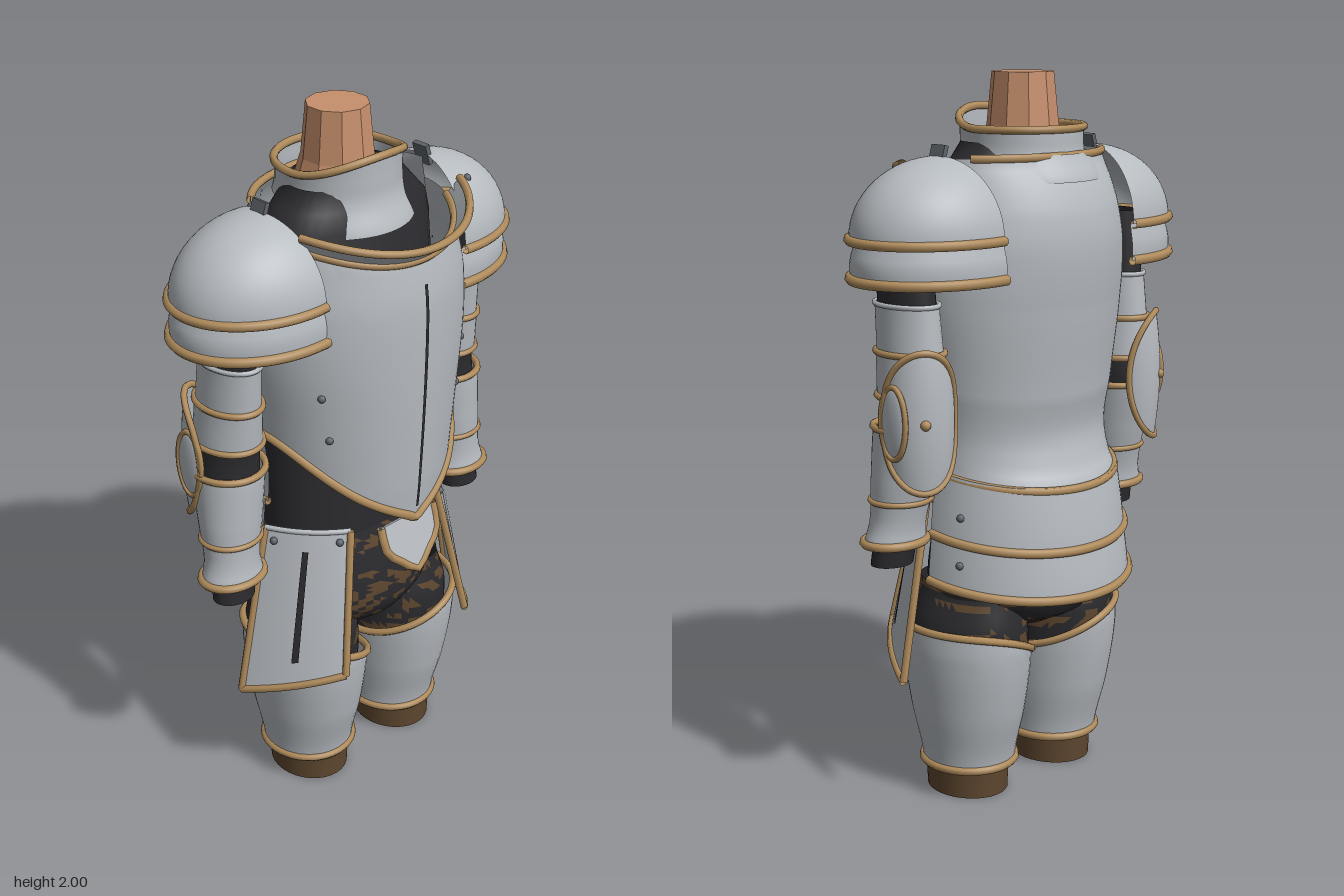
import * as THREE from 'three';
import { ParametricGeometry } from 'three/addons/geometries/ParametricGeometry.js';

const PI = Math.PI, { sin, cos, abs } = Math;
const V = (x, y, z) => new THREE.Vector3(x, y, z);
const mat = (name, color, o = {}) => {
  const m = new THREE.MeshStandardMaterial({ color, side: THREE.DoubleSide, ...o });
  m.name = name;
  return m;
};

export function createModel() {
  const steel = mat('steel', 0xb6bbc0), gold = mat('brass trim', 0xb08c5c), black = mat('black mail', 0x2b2a2e),
    brown = mat('brown leather', 0x5e472f), skin = mat('skin', 0xc68f6c, { flatShading: true }), dark = mat('dark steel', 0x5f646b);
  const model = new THREE.Group();
  model.name = 'suitOfArmour';
  let target = model; // group receiving new parts

  const add = (name, geo, m) => {
    const mesh = new THREE.Mesh(geo, m);
    mesh.name = name;
    target.add(mesh);
    return mesh;
  };
  const patch = (name, fn, m, nu = 32, nv = 12) =>
    add(name, new ParametricGeometry((u, v, t) => t.copy(fn(u, v)), nu, nv), m);
  const trim = (name, fn, r = 0.012, closed = false, n = 32, m = gold) => {
    const pts = Array.from({ length: closed ? n : n + 1 }, (_, i) => fn(i / n));
    return add(name, new THREE.TubeGeometry(new THREE.CatmullRomCurve3(pts, closed), n * 2, r, 7, closed), m);
  };
  const rivet = (p, m = dark, r = 0.011) => add('rivet', new THREE.SphereGeometry(r, 10, 8), m).position.copy(p);

  // Smooth elliptical surface from rows [y, rx, rz]; angle 0 faces front, PI/2 faces +x
  const surface = (rows, cx = 0, cz = 0, off = 0) => {
    const at = (c, y) => (typeof c === 'function' ? c(y) : c);
    return (a, y) => {
      let i = 0;
      while (i < rows.length - 2 && y > rows[i + 1][0]) i++;
      const t = THREE.MathUtils.clamp((y - rows[i][0]) / (rows[i + 1][0] - rows[i][0]), 0, 1);
      const [rx, rz] = [1, 2].map(k => {
        const p = j => rows[Math.min(Math.max(j, 0), rows.length - 1)][k];
        const m0 = (p(i + 1) - p(i - 1)) / 2, m1 = (p(i + 2) - p(i)) / 2, d = p(i + 1) - p(i);
        return p(i) + m0 * t + (3 * d - 2 * m0 - m1) * t * t + (m0 + m1 - 2 * d) * t * t * t + off;
      });
      return V(at(cx, y) + rx * sin(a), y, at(cz, y) + rz * cos(a));
    };
  };
  const ev = (e, a) => (typeof e === 'function' ? e(a) : e);
  const plate = (name, S, a0, a1, lo, hi, m = steel, nu = 32, nv = 12) => patch(name, (u, v) => {
    const a = a0 + (a1 - a0) * u;
    return S(a, ev(lo, a) + (ev(hi, a) - ev(lo, a)) * v);
  }, m, nu, nv);
  const edge = (name, S, a0, a1, y, r) => trim(name, t => {
    const a = a0 + (a1 - a0) * t;
    return S(a, ev(y, a));
  }, r, abs(a1 - a0 - 2 * PI) < 1e-6);
  const ring = (name, S, y, r) => edge(name, S, 0, 2 * PI, y, r);

  // Neck
  const neck = [[0.135, 1.74], [0.098, 1.86], [0.084, 2], [0, 2]].map(p => new THREE.Vector2(...p));
  add('neck', new THREE.LatheGeometry(neck, 10), skin).position.z = -0.033;

  // Mail undershirt
  const shirt = surface([[0.82, 0.27, 0.18], [1.1, 0.27, 0.18], [1.4, 0.28, 0.2], [1.6, 0.27, 0.18], [1.72, 0.265, 0.15], [1.82, 0.17, 0.125]], 0, -0.01);
  plate('undershirt', shirt, 0, 2 * PI, 0.82, 1.82, black, 40, 20);
  const base = add('neckOpening', new THREE.CircleGeometry(0.165, 32), black);
  base.rotation.x = -PI / 2;
  base.position.set(0, 1.78, -0.03);

  // Collar with front and back lappets
  const collar = surface([[1.7, 0.2, 0.2], [1.78, 0.172, 0.17], [1.84, 0.168, 0.165], [1.92, 0.176, 0.165]], 0, -0.03);
  const collarTop = a => 1.855 + (cos(a) > 0 ? 0.048 * cos(a) ** 2 : 0);
  plate('collar', collar, 0, 2 * PI, 1.77, collarTop, steel, 48);
  ring('collarTrim', collar, collarTop, 0.011);
  plate('collarFrontLappet', collar, -0.75, 0.75, 1.705, 1.79);
  plate('collarBackLappet', surface([[1.72, 0.21, 0.215], [1.8, 0.19, 0.175]], 0, -0.03), PI - 0.6, PI + 0.6, 1.72, 1.79);

  // Breastplate with pointed hem, centre ridge and flared neck flange
  const frontRows = [[0.87, 0.27, 0.272], [1, 0.288, 0.282], [1.2, 0.31, 0.292], [1.4, 0.332, 0.298], [1.55, 0.326, 0.296], [1.67, 0.3, 0.277], [1.75, 0.285, 0.25]];
  const breast = surface(frontRows);
  const hem = a => { const s = abs(sin(a)); return 0.892 + 0.27 * (0.6 * s + 0.4 * s ** 4); };
  const neckline = a => 1.665 + 0.06 * sin(a) ** 2;
  plate('breastplate', breast, -PI / 2, PI / 2, hem, neckline, steel, 48, 24);
  edge('breastplateHemTrim', breast, -PI / 2, PI / 2, hem, 0.013);
  plate('breastplateRidge', surface(frontRows, 0, 0, 0.004), -0.016, 0.016, 0.93, 1.6, black, 2, 20);
  const flange = (a, v) => breast(a, neckline(a)).lerp(V(0.312 * sin(a), neckline(a) + 0.048, 0.326 * cos(a)), v);
  patch('neckFlange', (u, v) => flange(-1.15 + 2.3 * u, v), steel, 32, 3);
  for (const v of [0, 1]) trim('neckFlangeTrim', t => flange(-1.15 + 2.3 * t, v), 0.011);
  for (const s of [-1, 1]) for (const [a, y] of [[0.92, 1.32], [0.88, 1.19]]) rivet(breast(s * a, y));

  // Backplate and hip lames
  const back = surface([[0.9, 0.3, 0.272], [0.96, 0.292, 0.238], [1.04, 0.29, 0.218], [1.15, 0.305, 0.235], [1.4, 0.33, 0.262], [1.55, 0.326, 0.274], [1.65, 0.308, 0.262], [1.72, 0.292, 0.234], [1.785, 0.28, 0.195]]);
  const tilt = y => a => y + 0.045 * (1 + cos(a));
  plate('backplate', back, PI / 2, 1.5 * PI, tilt(0.9), 1.785, steel, 40, 28);
  edge('backplateHemTrim', back, PI / 2, 1.5 * PI, tilt(0.9), 0.012);
  edge('backNeckTrim', back, PI - 1.1, PI + 1.1, 1.785, 0.011);
  for (const [lo, hi, rx0, rz0, rx1, rz1] of [[0.735, 0.91, 0.325, 0.3, 0.3, 0.264], [0.605, 0.75, 0.335, 0.318, 0.315, 0.286]]) {
    const S = surface([[lo, rx0, rz0], [hi + 0.1, rx1, rz1]]);
    plate('hipLame', S, PI / 2, 1.5 * PI, tilt(lo), tilt(hi));
    edge('hipLameTrim', S, PI / 2, 1.5 * PI, tilt(lo), 0.013);
    for (const a of [1.9, 2 * PI - 1.9]) rivet(S(a, lo + 0.1));
  }

  // Mottled shorts: triangles are sorted into black and brown groups
  const mottle = mesh => {
    const g = mesh.geometry, p = g.attributes.position, bins = [[], []];
    for (let i = 0; i < g.index.count; i += 3) {
      const t = [0, 1, 2].map(k => g.index.getX(i + k));
      const mean = f => t.reduce((sum, k) => sum + p[f](k), 0) / 3;
      const x = mean('getX'), y = mean('getY'), z = mean('getZ');
      bins[sin(x * 34 + 3 * sin(y * 37)) * cos(y * 48 + z * 12 + 2 * sin(x * 29)) > 0.3 ? 1 : 0].push(...t);
    }
    g.setIndex([...bins[0], ...bins[1]]);
    g.addGroup(0, bins[0].length, 0);
    g.addGroup(bins[0].length, bins[1].length, 1);
    mesh.material = [black, brown];
  };
  const hips = surface([[0.48, 0.11, 0.1], [0.52, 0.2, 0.18], [0.59, 0.285, 0.215], [0.72, 0.28, 0.21], [0.9, 0.26, 0.18]], 0, -0.02);
  mottle(plate('shorts', hips, 0, 2 * PI, 0.48, 0.9, black, 72, 30));

  // Pointed front tab
  const tab = target = new THREE.Group();
  tab.name = 'frontTab';
  tab.position.set(0, 0.88, 0.235);
  tab.rotation.x = -0.3;
  model.add(tab);
  const tabPts = [[-0.1, 0], [-0.095, -0.075], [-0.045, -0.125], [0, -0.16], [0.045, -0.125], [0.095, -0.075], [0.1, 0]];
  add('frontTabPlate', new THREE.ExtrudeGeometry(new THREE.Shape(tabPts.map(p => new THREE.Vector2(...p))), { depth: 0.01, bevelEnabled: false }), steel);
  trim('frontTabTrim', t => V(...tabPts[Math.round(t * 6)], 0.005), 0.012, false, 6);

  // Everything paired is built on the left, then mirrored
  const side = new THREE.Group();
  side.name = 'leftSide';
  target = side;

  // Leg: lining, thigh plate, boot top
  const legX = y => 0.168 + 0.022 * y;
  mottle(plate('thighLining', surface([[0.36, 0.145, 0.175], [0.5, 0.145, 0.18], [0.62, 0.1, 0.16]], legX, 0), 0, 2 * PI, 0.36, 0.62, black, 48, 14));
  const thigh = surface([[0.09, 0.128, 0.132], [0.25, 0.15, 0.172], [0.42, 0.165, 0.197], [0.52, 0.16, 0.195]], legX, 0.012);
  const thighTop = a => 0.44 + 0.06 * sin(a) + 0.03 * cos(a) ** 2;
  plate('thighPlate', thigh, 0, 2 * PI, 0.09, thighTop, steel, 40, 16);
  ring('thighTopTrim', thigh, thighTop, 0.011);
  ring('thighHemTrim', thigh, 0.09, 0.012);
  plate('bootTop', surface([[0, 0.106, 0.122], [0.12, 0.112, 0.126]], 0.172, 0.017), 0, 2 * PI, 0, 0.12, brown, 32, 2);

  // Hanging thigh guard
  const [oT, iT, oB, iB] = [V(0.32, 0.88, 0.015), V(0.165, 0.88, 0.19), V(0.42, 0.375, 0.01), V(0.24, 0.46, 0.25)];
  const guard = (u, v, off = 0) => {
    const b = 0.018 * 4 * u * (1 - u) + off;
    return oT.clone().lerp(iT, u).lerp(oB.clone().lerp(iB, u), v).add(V(b * 0.7, 0, b * 0.7));
  };
  patch('thighGuard', (u, v) => guard(u, v), steel, 12, 8);
  trim('thighGuardSideTrim', t => guard(0, t), 0.011, false, 8);
  trim('thighGuardInnerTrim', t => guard(1, t), 0.011, false, 8);
  trim('thighGuardHemTrim', t => guard(t, 1), 0.011, false, 8);
  trim('thighGuardTopEdge', t => guard(t, 0), 0.008, false, 8, steel);
  patch('thighGuardSlot', (u, v) => guard(0.46 + 0.07 * u, 0.12 + 0.72 * v, 0.005), black, 2, 4);
  for (const u of [0.12, 0.88]) rivet(guard(u, 0.07, 0.002));

  // Arm: sleeve, upper lames, forearm
  const armX = y => 0.406 + 0.09 * Math.max(0, 1.15 - y);
  const armZ = y => (y < 1.15 ? -0.03 + 0.12 * (1.15 - y) : -0.03 + 0.08 * (y - 1.15));
  const arm = rows => surface(rows, armX, armZ);
  const sleeve = arm([[0.72, 0.062, 0.05], [0.8, 0.066, 0.055], [1.1, 0.082, 0.09], [1.4, 0.062, 0.092], [1.6, 0.06, 0.09]]);
  plate('sleeve', sleeve, 0, 2 * PI, 0.72, 1.6, black, 28, 16);
  const cuff = add('sleeveEnd', new THREE.CircleGeometry(1, 24), black);
  cuff.scale.set(0.062, 0.05, 1);
  cuff.rotation.x = PI / 2;
  cuff.position.set(armX(0.72), 0.72, armZ(0.72));
  const upper = arm([[1.28, 0.074, 0.102], [1.42, 0.068, 0.1]]);
  plate('upperArmPlate', upper, 0, 2 * PI, 1.28, 1.42);
  trim('upperArmEdge', t => upper(2 * PI * t, 1.42), 0.007, true, 32, steel);
  const lame = arm([[1.17, 0.086, 0.104], [1.3, 0.076, 0.104]]);
  plate('elbowLame', lame, 0, 2 * PI, 1.17, 1.3);
  for (const y of [1.18, 1.295]) ring('elbowLameTrim', lame, y, 0.009);
  const fore = arm([[0.78, 0.092, 0.073], [0.84, 0.08, 0.07], [0.95, 0.09, 0.084], [1.1, 0.098, 0.102]]);
  plate('forearmPlate', fore, 0, 2 * PI, 0.78, 1.1);
  for (const [y, r] of [[0.785, 0.012], [0.9, 0.008], [1.1, 0.01]]) ring('forearmTrim', fore, y, r);

  // Elbow guard with side wing
  const elbow = (r, f) => {
    const a = 2.6 + 1.15 * r * cos(f), b = 0.014 * (1 - r * r);
    return V(0.406 + (0.102 + b) * sin(a), 1.125 + 0.185 * r * sin(f), -0.035 + (0.108 + b) * cos(a));
  };
  patch('elbowGuard', (u, v) => elbow(1 - 0.99 * v, -2 * PI * u), steel, 36, 8);
  trim('elbowGuardTrim', t => elbow(1, 2 * PI * t), 0.009, true);
  rivet(elbow(0, 0), gold, 0.014);
  const wing = add('elbowWing', new THREE.SphereGeometry(1, 20, 12), steel);
  wing.scale.set(0.014, 0.092, 0.045);
  wing.position.set(0.506, 1.125, -0.062);
  trim('elbowWingTrim', t => V(0.508, 1.125 + 0.095 * sin(2 * PI * t), -0.062 + 0.047 * cos(2 * PI * t)), 0.008, true);

  // Shoulder guard: dome over one lame
  const A0 = -0.15, A1 = PI + 0.15;
  const dome = (a, e) => V(0.29 + 0.257 * cos(e) * sin(a), 1.585 + 0.207 * sin(e), -0.01 + 0.206 * cos(e) * cos(a));
  patch('shoulderDome', (u, v) => dome(A0 + (A1 - A0) * u, v * 0.495 * PI), steel, 36, 16);
  trim('shoulderDomeTrim', t => dome(A0 + (A1 - A0) * t, 0), 0.013);
  const shLame = surface([[1.485, 0.262, 0.206], [1.53, 0.262, 0.206], [1.585, 0.245, 0.195]], 0.285, -0.012);
  plate('shoulderLame', shLame, A0, A1, 1.485, 1.585, steel, 36, 5);
  edge('shoulderLameTrim', shLame, A0, A1, 1.485, 0.014);
  const buckle = add('shoulderBuckle', new THREE.BoxGeometry(0.014, 0.06, 0.05), dark);
  buckle.position.set(0.292, 1.79, -0.01);
  buckle.rotation.z = 0.3;

  const other = side.clone();
  other.name = 'rightSide';
  other.scale.x = -1;
  model.add(side, other);
  target = model;
  rivet(V(0.335, 1.742, 0.115));
  rivet(V(-0.34, 1.73, -0.135));
  return model;
}
